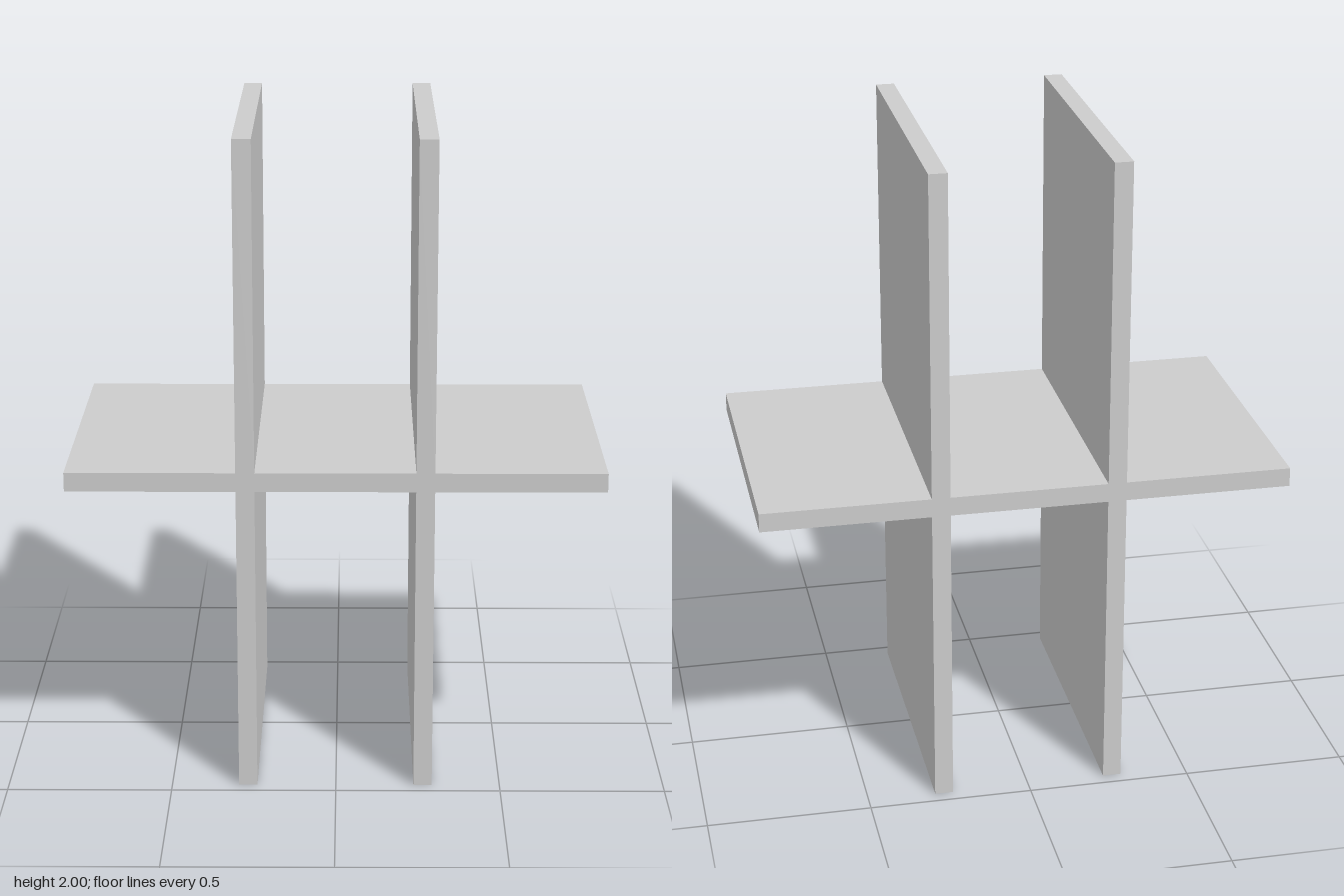
import * as THREE from 'three';

const HEIGHT = 2, DEPTH = 0.92, HALF_WIDTH = 0.802;
const SHELF = [0.947, 1.005];                          // bottom and top of the shelf
const PANELS = [[-0.296, -0.24], [0.237, 0.293]];      // x extents of the upright panels

// Half of the outline, from one shelf end to the other along the given side
function edge(shelfY, endY) {
  const points = [[-HALF_WIDTH, shelfY]];
  for (const [a, b] of PANELS) points.push([a, shelfY], [a, endY], [b, endY], [b, shelfY]);
  points.push([HALF_WIDTH, shelfY]);
  return points;
}

export function createModel() {
  const group = new THREE.Group();
  group.name = 'interlockingPanels';

  // Two uprights crossing one shelf, joined flush as a single solid
  const outline = [...edge(SHELF[0], 0), ...edge(SHELF[1], HEIGHT).reverse()];
  const shape = new THREE.Shape(outline.map(([x, y]) => new THREE.Vector2(x, y)));
  const geometry = new THREE.ExtrudeGeometry(shape, { depth: DEPTH, bevelEnabled: false });
  geometry.translate(0, 0, -DEPTH / 2);

  const mesh = new THREE.Mesh(geometry, new THREE.MeshStandardMaterial({ color: 0xcccccc }));
  mesh.name = 'uprightsAndShelf';
  group.add(mesh);
  return group;
}
